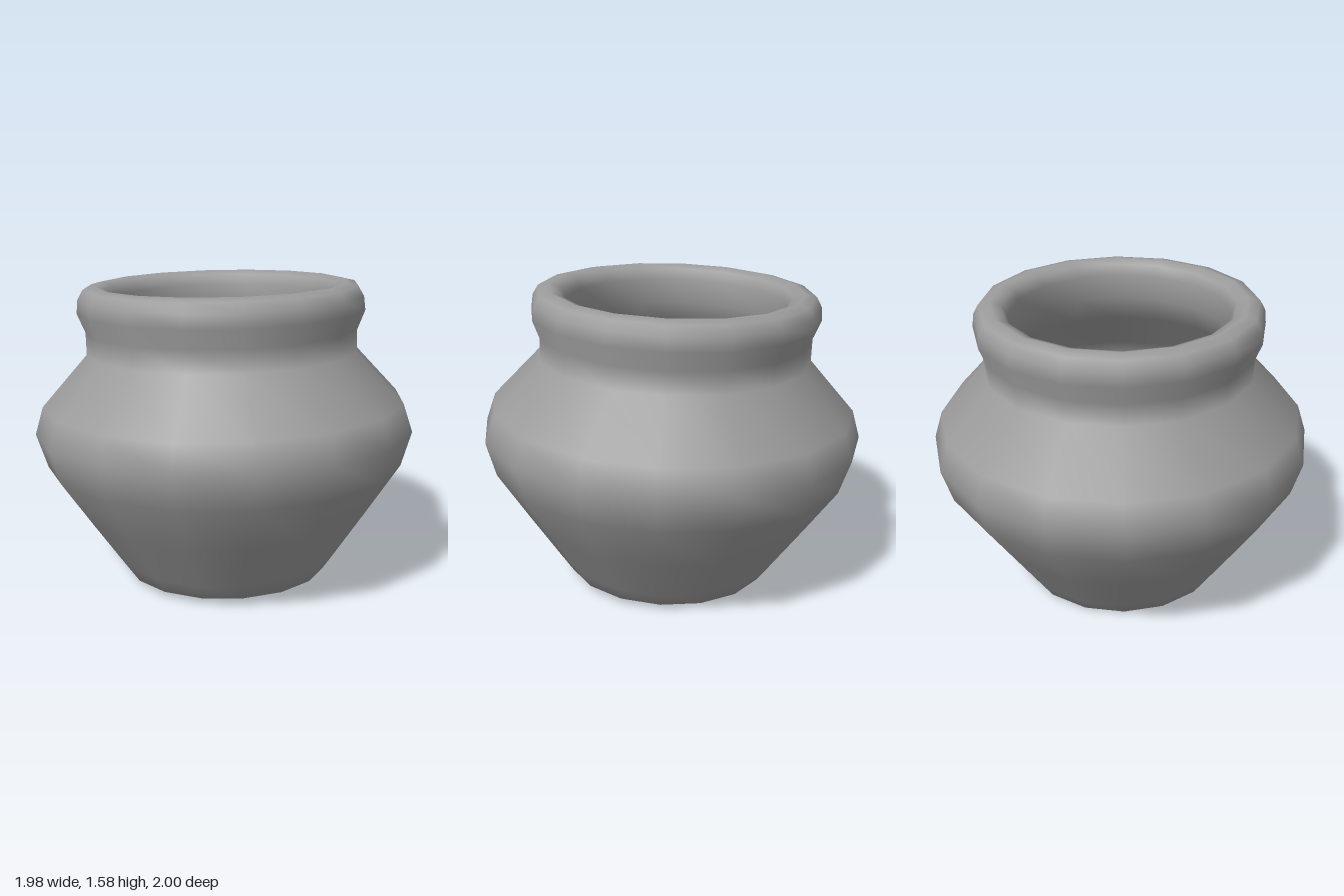
import * as THREE from 'three';

export function createModel() {
  const group = new THREE.Group();
  group.name = 'pot';
  const material = new THREE.MeshStandardMaterial({ color: 0x9d9d9d, side: THREE.DoubleSide });

  // Profile heights are measured from the belly, where the pot leans
  const belly = 0.805;
  const profile = [
    // Base and outer wall
    [0, 0.018], [0.46, 0.018], [0.535, 0.028], [0.595, 0.115], [0.77, 0.375], [0.935, 0.625], [0.99, 0.805], [0.945, 0.95],
    // Neck
    [0.705, 1.215], [0.705, 1.33],
    // Rolled rim
    [0.745, 1.43], [0.738, 1.5], [0.71, 1.55], [0.65, 1.565], [0.595, 1.545], [0.57, 1.49],
    // Inner wall and bowl-shaped floor
    [0.57, 1.36], [0.62, 1.22], [0.85, 0.97], [0.895, 0.83], [0.845, 0.64],
    [0.68, 0.38], [0.5, 0.14], [0, 0.1],
  ].map(([r, y]) => new THREE.Vector2(r, y - belly));

  // The pot is very slightly oval, deeper than wide
  const geometry = new THREE.LatheGeometry(profile, 16).scale(1, 1, 1.01);
  const pot = new THREE.Mesh(geometry, material);
  pot.name = 'potBody';
  pot.position.set(0, belly, 0.003);
  // Slight lean to the back and side
  pot.rotation.set(-0.033, 0, -0.009);
  group.add(pot);
  return group;
}
